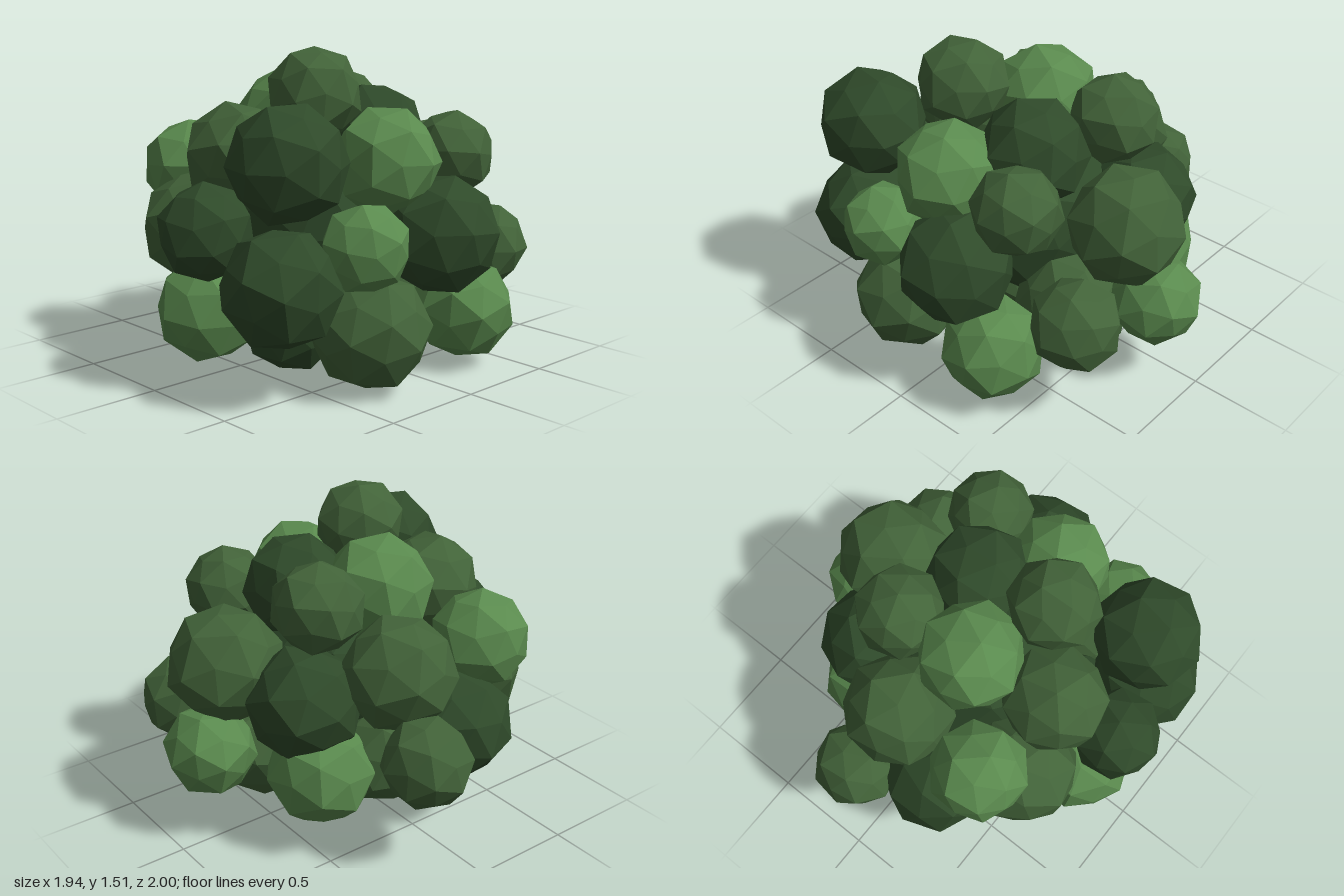
import * as THREE from 'three';

// Leaf clumps: x, y, z, radius, shade (0 dark, 1 mid, 2 light)
const upperClumps = [
  [0.49, 1.06, 0.63, 0.265, 0], [0.25, 1.31, 0.25, 0.22, 1], [-0.02, 1.02, 0.48, 0.255, 1],
  [-0.49, 0.91, 0.40, 0.235, 2], [-0.13, 1.14, 0.07, 0.26, 2], [0.54, 1.02, 0.08, 0.25, 2],
  [0.55, 1.01, -0.35, 0.21, 1], [-0.17, 1.15, -0.32, 0.22, 1], [0.22, 1.08, -0.16, 0.26, 0],
  [-0.48, 0.87, -0.09, 0.27, 1], [-0.24, 0.73, -0.45, 0.27, 0], [0.13, 0.84, -0.64, 0.28, 1],
];
const middleClumps = [
  [0.11, 0.73, 0.78, 0.22, 0], [0.51, 0.53, 0.69, 0.27, 0], [-0.29, 0.65, 0.52, 0.27, 1],
  [-0.56, 0.55, 0.20, 0.27, 0], [-0.76, 0.55, -0.15, 0.215, 1], [0.70, 0.69, 0.37, 0.20, 2],
  [0.70, 0.68, -0.11, 0.275, 0], [0.51, 0.51, -0.66, 0.215, 1], [0.07, 0.46, -0.78, 0.22, 2],
  [-0.32, 0.40, -0.42, 0.26, 2],
];
const lowerClumps = [
  [0.00, 0.34, 0.68, 0.25, 2], [0.65, 0.29, 0.28, 0.27, 1], [0.68, 0.29, -0.31, 0.245, 2],
  [-0.29, 0.38, 0.31, 0.25, 0], [0.08, 0.27, 0.12, 0.27, 1], [0.28, 0.28, 0.42, 0.23, 0],
  [0.20, 0.32, -0.39, 0.28, 1], [-0.38, 0.41, -0.08, 0.25, 1], [-0.14, 0.32, -0.10, 0.25, 0],
];

// Twelve-sided ball whose pentagons are each raised to a low five-sided point
function clumpGeometry() {
  const source = new THREE.DodecahedronGeometry(1.03).getAttribute('position');
  const points = [];
  for (let f = 0; f < source.count; f += 9) {
    // each pentagon is stored as three triangles: b c a, c d a, d e a
    const corners = [2, 0, 1, 4, 7].map((i) => new THREE.Vector3().fromBufferAttribute(source, f + i));
    const tip = corners.reduce((sum, c) => sum.add(c), new THREE.Vector3()).setLength(0.95);
    corners.forEach((c, i) => points.push(c, corners[(i + 1) % 5], tip));
  }
  const geometry = new THREE.BufferGeometry().setFromPoints(points);
  geometry.computeVertexNormals();
  return geometry;
}

export function createModel() {
  const bush = new THREE.Group();
  bush.name = 'bush';
  const geometry = clumpGeometry();
  const shades = [0x2f4a2a, 0x426339, 0x5a8a4e].map(
    (color) => new THREE.MeshStandardMaterial({ color, flatShading: true }));

  // Each clump is turned differently so facets do not line up
  const addTier = (name, clumps, offset) => {
    const tier = new THREE.Group();
    tier.name = name;
    clumps.forEach(([x, y, z, r, shade], i) => {
      const clump = new THREE.Mesh(geometry, shades[shade]);
      clump.name = 'leafClump';
      clump.position.set(x, y, z);
      clump.scale.setScalar(r);
      const k = i + offset;
      clump.rotation.set(k * 1.3, k * 2.1, k * 0.7);
      tier.add(clump);
    });
    bush.add(tier);
  };
  addTier('upperFoliage', upperClumps, 1);
  addTier('middleFoliage', middleClumps, 13);
  addTier('lowerFoliage', lowerClumps, 23);

  // Dark heart that closes the gaps between clumps
  const core = new THREE.Mesh(geometry, shades[0]);
  core.name = 'foliageCore';
  core.position.set(0.05, 0.65, 0);
  core.scale.setScalar(0.45);
  bush.add(core);
  return bush;
}
